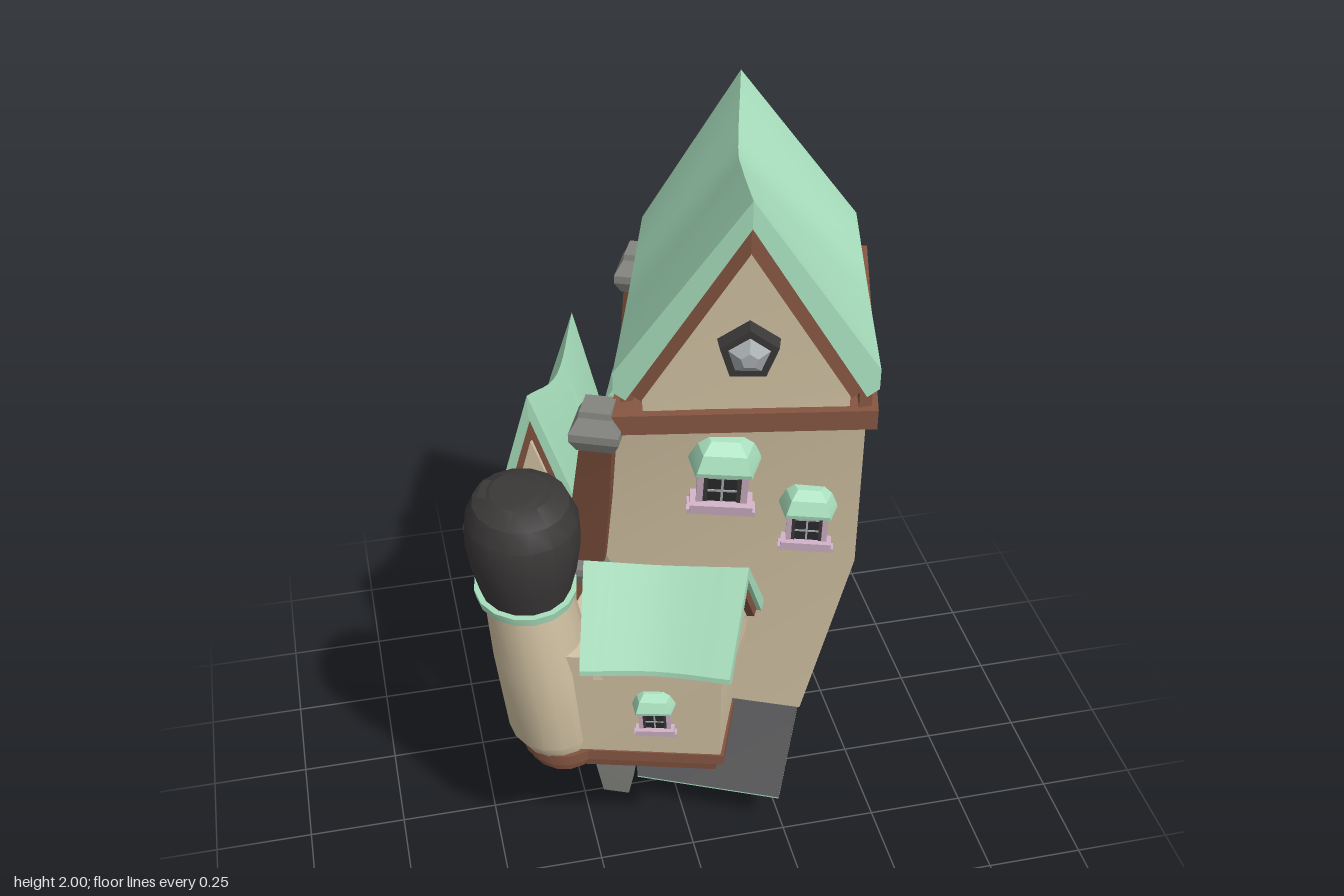
import * as THREE from 'three';
import { toCreasedNormals } from 'three/addons/utils/BufferGeometryUtils.js';

const V = (x, y, z) => new THREE.Vector3(x, y, z);
const mat = (color) => new THREE.MeshStandardMaterial({ color });
const plaster = mat(0xd2c2a3), mint = mat(0xa8dfbd), wood = mat(0x835440), stone = mat(0x606062),
  capGrey = mat(0x858580), iron = mat(0x3b3838), pink = mat(0xcfb0c4), pane = mat(0x2b2a2c), glass = mat(0xaab0b3);

// Closed skin through a list of equal-length rings, capped at both ends
function loft(rings, crease = 0.35) {
  const tris = [], n = rings[0].length, last = rings.length - 1;
  for (let i = 0; i < last; i++) for (let j = 0; j < n; j++) {
    const k = (j + 1) % n, a = rings[i][j], b = rings[i][k], c = rings[i + 1][k], d = rings[i + 1][j];
    tris.push([a, b, c], [a, c, d]);
  }
  for (let j = 1; j < n - 1; j++) {
    tris.push([rings[0][0], rings[0][j + 1], rings[0][j]]);
    tris.push([rings[last][0], rings[last][j], rings[last][j + 1]]);
  }
  // turn the skin outward if the rings run the other way round
  const origin = rings[0][0];
  const volume = tris.reduce((s, t) => {
    const [a, b, c] = t.map((p) => p.clone().sub(origin));
    return s + a.dot(b.cross(c));
  }, 0);
  if (volume < 0) tris.forEach((t) => t.reverse());
  return toCreasedNormals(new THREE.BufferGeometry().setFromPoints(tris.flat()), crease);
}

function add(parent, name, geo, material, pos = [0, 0, 0]) {
  const m = new THREE.Mesh(geo, material);
  m.name = name;
  m.position.set(...pos);
  parent.add(m);
}

const quad = (...pts) => pts.map((p) => V(...p));
const circle = (x, y, z, r, sz) => Array.from({ length: 16 }, (_, i) => {
  const a = (i / 16) * Math.PI * 2;
  return V(x + r * Math.cos(a), y, z + r * sz * Math.sin(a));
});
const square = ([x, y, z, w]) => [0, 1, 2, 3].map((i) => {
  const a = 0.4 + Math.PI / 4 + (i * Math.PI) / 2;
  return V(x + w * 0.707 * Math.cos(a), y, z + w * 0.707 * Math.sin(a));
});
const along = (pts, t) => new THREE.CatmullRomCurve3(pts).getPoint(t);

// Sagging gabled roof: covering with an upright lip, timber lining and gable infill.
// Each edge is a list of points running from one gable to the other.
function roof(parent, name, left, ridge, right, { th, drop, lip, inset }) {
  const steps = 12;
  const slope = (edge, t, a, pull) => {
    const e = along(edge, t), r = along(ridge, t), d = r.clone().sub(e);
    const rise = d.y, len = d.length(), flat = V(d.x, 0, d.z), run = flat.length();
    const inward = flat.normalize().multiplyScalar(rise / len).add(V(0, -run / len, 0));
    return {
      eave: e.addScaledVector(inward, a).addScaledVector(d, pull / len),
      top: r.add(V(0, (-a * len) / run, 0)),
    };
  };
  const sections = (t0, fn) => Array.from({ length: steps + 1 }, (_, i) => fn(t0 + ((1 - 2 * t0) * i) / steps));
  for (const edge of [left, right]) {
    const slab = (t0, a, b, pull, raise) => loft(sections(t0, (t) => {
      const o = slope(edge, t, a, pull), i = slope(edge, t, b, pull);
      return [o.eave, o.eave.clone().add(V(0, raise, 0)), o.top, i.top, i.eave];
    }));
    add(parent, name + 'Covering', slab(0, 0, th, 0, lip), mint);
    add(parent, name + 'Timber', slab(0.025, th * 0.95, th * 2, 0.01, 0.002), wood);
  }
  add(parent, name + 'Gable', loft(sections(inset, (t) => {
    const l = slope(left, t, th * 1.8, 0.02), r = slope(right, t, th * 1.8, 0.02);
    const down = (p) => p.clone().add(V(0, -drop, 0));
    return [down(l.eave), l.eave, l.top, r.eave, down(r.eave)];
  })), plaster);
}

// Window with frame, sill, glazing bars and small hood; faces +z
function makeWindow(s) {
  const g = new THREE.Group();
  g.name = 'window';
  const box = (name, w, h, d, x, y, z, m) => add(g, name, new THREE.BoxGeometry(w, h, d), m, [x, y, z]);
  box('pane', 0.09, 0.13, 0.03, 0, 0, 0, pane);
  for (const k of [-1, 1]) {
    box('frameSide', 0.016, 0.14, 0.04, k * 0.053, 0, 0, pink);
    box('frameInner', 0.01, 0.12, 0.036, k * 0.04, 0, 0, iron);
  }
  box('frameTop', 0.122, 0.02, 0.04, 0, 0.065, 0, pink);
  box('sill', 0.15, 0.028, 0.06, 0, -0.07, 0.005, pink);
  box('sillFoot', 0.165, 0.014, 0.045, 0, -0.09, 0, pink);
  box('barUpright', 0.006, 0.12, 0.034, 0, 0, 0, glass);
  for (const y of [-0.02, 0.022]) box('barCross', 0.07, 0.006, 0.034, 0, y, 0, glass);
  const rect = (w, y, d) => quad([-w, y, -0.02], [w, y, -0.02], [w * 0.75, y, d], [-w * 0.75, y, d]);
  add(g, 'hood', loft([rect(0.088, 0.06, 0.055), rect(0.085, 0.072, 0.056), rect(0.068, 0.11, 0.035), rect(0.045, 0.13, 0.005)]), mint);
  g.scale.setScalar(s);
  return g;
}

// Set a window on the wall panel between corner i and i+1 of two rings
function windowOn(parent, top, low, i, u, v, s) {
  const k = (i + 1) % 4;
  const a = top[i].clone().lerp(top[k], u), b = low[i].clone().lerp(low[k], u);
  const across = top[k].clone().lerp(low[k], v).sub(top[i].clone().lerp(low[i], v));
  const up = a.clone().sub(b).normalize();
  const w = makeWindow(s);
  const normal = across.normalize().cross(up).normalize();
  const side = up.clone().cross(normal);
  w.quaternion.setFromRotationMatrix(new THREE.Matrix4().makeBasis(side, up, normal));
  w.position.copy(a.lerp(b, v)).addScaledVector(normal, 0.005);
  parent.add(w);
}

// Crooked timber post with stone foot and caps
function post(parent, name, cap, knee, foot, footHeight) {
  const g = new THREE.Group();
  g.name = name;
  const [cx, cy, cz] = cap, [kx, ky, kz] = knee, [fx, fy, fz] = foot;
  const stack = (part, list, m) => add(g, part, loft(list.map(square)), m);
  const collar = (x, y, z, w) => stack('collar', [[x, y - 0.05, z, w * 0.75], [x, y - 0.02, z, w], [x, y, z, w], [x, y + 0.035, z, w * 0.66], [x, y + 0.05, z, w * 0.62]], capGrey);
  collar(cx, cy, cz, 0.115);
  collar(kx, ky, kz, 0.105);
  stack('upperPost', [[cx, cy - 0.04, cz, 0.075], [(cx + kx) / 2, (cy + ky) / 2, (cz + kz) / 2 - 0.01, 0.09], [kx, ky, kz, 0.07]], wood);
  stack('lowerPost', [[kx, ky, kz, 0.07], [kx * 0.8 + fx * 0.2, ky - 0.27, kz, 0.095], [fx, fy + footHeight - 0.05, fz, 0.055]], wood);
  stack('foot', [[fx, fy, fz, 0.07], [fx, fy + footHeight * 0.68, fz, 0.11], [fx, fy + footHeight * 0.86, fz, 0.115], [fx, fy + footHeight, fz, 0.085]], capGrey);
  parent.add(g);
}

// Ring scaled about its middle and laid level
function grow(ring, k, y) {
  const c = ring.reduce((s, p) => s.add(p), V(0, 0, 0)).multiplyScalar(1 / ring.length);
  return ring.map((p) => p.clone().sub(c).multiplyScalar(k).add(c).setY(y));
}

export function createModel() {
  const model = new THREE.Group();
  model.name = 'crookedHouse';

  // Stone base and its underside
  const baseLow = quad([-0.12, 0.13, 0.1], [0.23, 0.13, 0.26], [0.43, 0.15, -0.19], [0.03, 0.14, -0.33]);
  add(model, 'base', loft([baseLow, quad([-0.13, 0.45, 0.05], [0.29, 0.45, 0.2], [0.44, 0.45, -0.2], [0.02, 0.45, -0.35])]), stone);
  add(model, 'baseUnderside', loft([baseLow.map((p) => p.clone().add(V(0, -0.004, 0))), baseLow]), mint);

  // Leaning main walls
  const top = quad([-0.18, 1.38, 0.2], [0.38, 1.38, 0.3], [0.485, 1.47, -0.2], [0.01, 1.46, -0.31]);
  const mid = quad([-0.19, 0.9, 0.08], [0.385, 0.93, 0.28], [0.535, 0.88, -0.3], [0.02, 0.9, -0.43]);
  const low = quad([-0.15, 0.43, 0.05], [0.28, 0.43, 0.24], [0.49, 0.43, -0.23], [0.02, 0.43, -0.39]);
  add(model, 'mainWalls', loft([low, mid, top], 0.6), plaster);
  windowOn(model, top, mid, 0, 0.45, 0.44, 0.98);
  windowOn(model, top, mid, 0, 0.8, 0.73, 0.8);
  windowOn(model, top, mid, 2, 0.24, 0.44, 1.08);
  windowOn(model, top, mid, 2, 0.66, 0.77, 1.05);
  windowOn(model, top, mid, 3, 0.52, 0.42, 0.85);

  // Timber band under the attic
  const band = (h) => quad([-0.2, 1.35 + h, 0.23], [0.39, 1.36 + h, 0.35], [0.535, 1.45 + h, -0.22], [0.02, 1.45 + h, -0.32]);
  add(model, 'timberBand', loft([band(0), band(0.05)]), wood);

  // Main roof, with a timber plate under each eave
  roof(model, 'mainRoof',
    quad([-0.19, 1.47, 0.24], [-0.1, 1.5, -0.03], [-0.01, 1.55, -0.3]),
    quad([0.085, 1.97, 0.36], [0.11, 1.945, 0.17], [0.145, 1.91, 0], [0.2, 2.0, -0.2]),
    quad([0.385, 1.475, 0.36], [0.44, 1.51, 0.08], [0.495, 1.555, -0.2]), { th: 0.033, drop: 0.08, lip: 0.05, inset: 0.07 });
  const plate = (x, y, z, h) => quad([x - 0.015, y, z], [x + 0.015, y, z], [x + 0.015, y + h, z], [x - 0.015, y + h, z]);
  add(model, 'eavePlate', loft([plate(0.365, 1.41, 0.33, 0.06), plate(0.475, 1.49, -0.19, 0.06)]), wood);
  add(model, 'eavePlate', loft([plate(-0.15, 1.4, 0.19, 0.06), plate(0.02, 1.48, -0.28, 0.06)]), wood);

  // Five-sided gable window
  const gem = new THREE.Group();
  gem.name = 'gableWindow';
  const pent = (name, r0, r1, d, m, z) => {
    add(gem, name, toCreasedNormals(new THREE.CylinderGeometry(r0, r1, d, 5), 0.2).rotateX(Math.PI / 2).rotateZ(Math.PI), m, [0, 0, z]);
  };
  pent('gableFrame', 0.068, 0.075, 0.05, iron, 0);
  pent('gableGlass', 0.02, 0.05, 0.02, glass, 0.034);
  gem.position.set(0.1, 1.58, 0.3);
  gem.rotation.set(0.1, -0.2, 0);
  model.add(gem);

  // Posts
  post(model, 'frontPost', [-0.215, 1.36, 0.19], [-0.215, 0.86, 0.05], [-0.16, 0.05, 0.035], 0.21);
  post(model, 'backPost', [-0.01, 1.455, -0.315], [0, 0.9, -0.42], [0.02, 0, -0.38], 0.25);

  // Front bay with side-facing gable
  const bayTop = quad([-0.38, 0.8, 0.315], [0.02, 0.8, 0.435], [0.15, 0.82, 0.23], [-0.24, 0.82, 0.1]);
  const bayLow = quad([-0.34, 0.46, 0.295], [0.03, 0.46, 0.4], [0.1, 0.46, 0.22], [-0.21, 0.46, 0.09]);
  add(model, 'bayWalls', loft([bayLow, bayTop]), plaster);
  add(model, 'baySill', loft([grow(bayLow, 0.93, 0.41), grow(bayLow, 0.97, 0.435), grow(bayLow, 1.05, 0.44), grow(bayLow, 1.05, 0.47)]), wood);
  windowOn(model, bayTop, bayLow, 0, 0.6, 0.55, 0.63);
  roof(model, 'bayRoof',
    quad([-0.31, 0.78, 0.38], [-0.13, 0.77, 0.41], [0.03, 0.77, 0.475]),
    quad([-0.27, 1.02, 0.25], [-0.09, 1.005, 0.29], [0.1, 1.02, 0.36]),
    quad([-0.22, 0.8, 0.11], [-0.02, 0.8, 0.17], [0.17, 0.81, 0.25]), { th: 0.02, drop: 0.05, lip: 0.015, inset: 0.07 });

  // Round turret with rim and iron pot
  const rings = (list) => loft(list.map(([x, y, z, r]) => circle(x, y, z, r, 1.12)), 0.5);
  add(model, 'turret', rings([[-0.345, 0.46, 0.21, 0.095], [-0.355, 0.5, 0.21, 0.11], [-0.375, 0.74, 0.215, 0.117], [-0.4, 0.93, 0.22, 0.105]]), plaster);
  add(model, 'turretSill', rings([[-0.33, 0.41, 0.21, 0.09], [-0.33, 0.435, 0.21, 0.095], [-0.33, 0.44, 0.21, 0.105], [-0.33, 0.47, 0.21, 0.105]]), wood);
  add(model, 'turretRim', rings([[-0.405, 0.93, 0.22, 0.118], [-0.405, 0.952, 0.22, 0.122]]), mint);
  add(model, 'pot', rings([[-0.405, 0.94, 0.22, 0.105], [-0.405, 1.02, 0.22, 0.125], [-0.405, 1.09, 0.22, 0.135],
    [-0.405, 1.15, 0.22, 0.132], [-0.405, 1.195, 0.22, 0.112], [-0.405, 1.22, 0.22, 0.07]]), iron);
  add(model, 'potStrap', loft([square([-0.475, 1.06, 0.19, 0.09]), square([-0.475, 1.14, 0.19, 0.1]), square([-0.46, 1.215, 0.195, 0.07])]), iron);

  // Side wing with saddle roof
  const wingTop = quad([-0.44, 0.84, -0.135], [-0.2, 0.87, -0.045], [-0.075, 0.87, -0.375], [-0.295, 0.84, -0.455]);
  const wingLow = quad([-0.41, 0.49, -0.13], [-0.19, 0.49, -0.07], [-0.085, 0.47, -0.345], [-0.28, 0.47, -0.43]);
  add(model, 'wingWalls', loft([wingLow, wingTop]), plaster);
  add(model, 'wingSill', loft([grow(wingLow, 0.95, 0.43), grow(wingLow, 1.0, 0.45), grow(wingLow, 1.05, 0.455), grow(wingLow, 1.05, 0.49)]), wood);
  windowOn(model, wingTop, wingLow, 3, 0.5, 0.64, 0.75);
  roof(model, 'wingRoof',
    quad([-0.455, 0.8, -0.14], [-0.38, 0.79, -0.31], [-0.3, 0.81, -0.48]),
    quad([-0.34, 1.275, -0.08], [-0.24, 1.215, -0.25], [-0.17, 1.28, -0.425]),
    quad([-0.2, 0.85, -0.03], [-0.13, 0.85, -0.2], [-0.07, 0.85, -0.38]), { th: 0.02, drop: 0.05, lip: 0.015, inset: 0.015 });

  return model;
}
